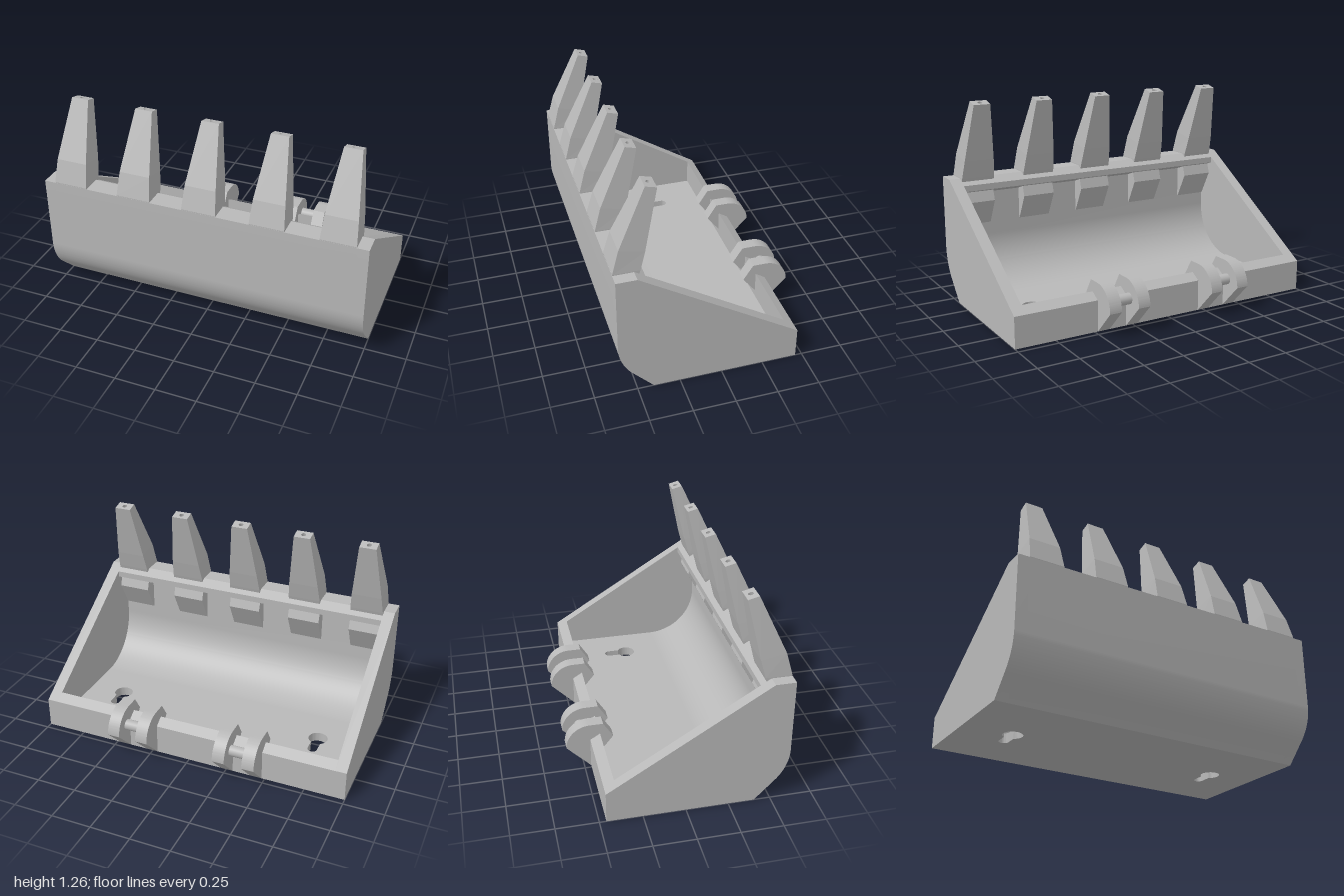
import * as THREE from 'three';
import { toCreasedNormals } from 'three/addons/utils/BufferGeometryUtils.js';

const steel = new THREE.MeshStandardMaterial({ color: 0xb8b8b8, side: THREE.DoubleSide });
steel.name = 'grey steel';

function part(name, geometry, parent) {
  const mesh = new THREE.Mesh(geometry, steel);
  mesh.name = name;
  parent.add(mesh);
  return mesh;
}

// Shape drawn in (z, y), extruded along x and centred on cx
function prism(shape, width, cx = 0) {
  const g = new THREE.ExtrudeGeometry(shape, { depth: width, bevelEnabled: false, curveSegments: 24 });
  g.rotateY(-Math.PI / 2).translate(cx + width / 2, 0, 0);
  return toCreasedNormals(g, 0.5);
}

// Outer curve of the bucket, from the top of the lip down to the floor
function outerFront(s) {
  s.lineTo(0.605, 0.775);
  s.lineTo(0.605, 0.325);
  s.absarc(0.315, 0.325, 0.29, 0, -Math.PI / 4, true);
  s.lineTo(0.405, 0);
}

function sidePlate() {
  const s = new THREE.Shape().moveTo(0.485, 0.775);
  outerFront(s);
  s.lineTo(-0.46, 0);
  s.lineTo(-0.46, 0.19);
  return s;
}

// Curved front wall with an overhanging lip
function frontWall() {
  const s = new THREE.Shape().moveTo(0.485, 0.775);
  outerFront(s);
  s.lineTo(0.1, 0);
  s.lineTo(0.1, 0.06);
  s.lineTo(0.22, 0.06);
  s.absarc(0.22, 0.38, 0.32, -Math.PI / 2, 0, false);
  s.lineTo(0.54, 0.66);
  s.lineTo(0.425, 0.7);
  s.lineTo(0.425, 0.738);
  return s;
}

// Floor plate with two keyhole slots
function floorPlate() {
  const s = new THREE.Shape().moveTo(-0.93, -0.46);
  s.lineTo(0.93, -0.46);
  s.lineTo(0.93, 0.1);
  s.lineTo(-0.93, 0.1);
  for (const x of [-0.693, 0.693]) {
    const hole = new THREE.Path();
    hole.absarc(x, -0.132, 0.03, Math.PI, 2 * Math.PI, false);
    hole.absarc(x, -0.012, 0.06, -Math.PI / 3, Math.PI * 4 / 3, false);
    hole.closePath();
    s.holes.push(hole);
  }
  const g = new THREE.ExtrudeGeometry(s, { depth: 0.06, bevelEnabled: false, curveSegments: 20 });
  g.rotateX(Math.PI / 2).translate(0, 0.06, 0);
  return toCreasedNormals(g, 0.5);
}

// Tooth lofted through rows of [front z, front y, back z, back y, half width]
function toothBody() {
  const rows = [
    [0.56, 0.46, 0.535, 0.46, 0.105],
    [0.59, 0.62, 0.45, 0.62, 0.105],
    [0.6, 0.7, 0.475, 0.7, 0.105],
    [0.604, 0.78, 0.45, 0.78, 0.105],
    [0.565, 0.92, 0.42, 0.89, 0.095],
    [0.405, 1.262, 0.34, 1.245, 0.053],
  ];
  const pos = [], index = [];
  for (const [zf, yf, zb, yb, h] of rows) pos.push(-h, yf, zf, h, yf, zf, h, yb, zb, -h, yb, zb);
  for (let r = 0; r < rows.length - 1; r++) {
    for (let i = 0; i < 4; i++) {
      const a = r * 4 + i, b = r * 4 + (i + 1) % 4;
      index.push(a, b, b + 4, a, b + 4, a + 4);
    }
  }
  index.push(0, 2, 1, 0, 3, 2);
  const g = new THREE.BufferGeometry();
  g.setAttribute('position', new THREE.Float32BufferAttribute(pos, 3));
  g.setIndex(index);
  const flat = g.toNonIndexed();
  flat.computeVertexNormals();
  return flat;
}

// Slanted tip face with a small drilled hole
function toothTip() {
  const s = new THREE.Shape().moveTo(-0.053, -0.0336);
  s.lineTo(0.053, -0.0336);
  s.lineTo(0.053, 0.0336);
  s.lineTo(-0.053, 0.0336);
  s.holes.push(new THREE.Path().absarc(0, 0, 0.015, 0, Math.PI * 2, true));
  return new THREE.ShapeGeometry(s, 16).rotateX(-Math.PI / 2 - 0.256).translate(0, 1.2535, 0.3725);
}

function hingeEar() {
  const s = new THREE.Shape().moveTo(-0.46, 0);
  s.lineTo(-0.605, 0.15);
  s.absarc(-0.46, 0.15, 0.145, Math.PI, Math.PI / 2, true);
  s.lineTo(-0.38, 0.295);
  s.lineTo(-0.32, 0.2);
  s.lineTo(-0.4, 0.1);
  s.lineTo(-0.42, 0.001);
  return s;
}

export function createModel() {
  const model = new THREE.Group();
  model.name = 'excavatorBucket';

  // Bucket shell
  const shell = new THREE.Group();
  shell.name = 'shell';
  model.add(shell);
  part('frontWall', prism(frontWall(), 1.86), shell);
  part('floor', floorPlate(), shell);
  part('leftSide', prism(sidePlate(), 0.07, 0.965), shell);
  part('rightSide', prism(sidePlate(), 0.07, -0.965), shell);
  const back = new THREE.Shape().moveTo(-0.46, 0.06);
  back.lineTo(-0.4, 0.06);
  back.lineTo(-0.4, 0.227);
  back.lineTo(-0.46, 0.19);
  part('backWall', prism(back, 1.86), shell);

  // Row of five teeth
  const body = toothBody(), tip = toothTip();
  const bore = new THREE.CylinderGeometry(0.015, 0.015, 0.06, 16, 1, true)
    .translate(0, -0.03, 0).rotateX(-0.256).translate(0, 1.2535, 0.3725);
  for (let i = -2; i <= 2; i++) {
    const tooth = new THREE.Group();
    tooth.name = 'tooth';
    tooth.position.x = i * 0.4125;
    part('toothBody', body, tooth);
    part('toothTip', tip, tooth);
    part('toothBore', bore, tooth);
    model.add(tooth);
  }

  // Two hinges, each a pair of ears joined by a pin
  for (const x of [-0.349, 0.349]) {
    const hinge = new THREE.Group();
    hinge.name = 'hinge';
    hinge.position.x = x;
    for (const side of [-1, 1]) part('hingeEar', prism(hingeEar(), 0.077, side * 0.094), hinge);
    const pin = new THREE.CylinderGeometry(0.034, 0.034, 0.13, 24).rotateZ(Math.PI / 2);
    part('hingePin', pin, hinge).position.set(0, 0.18, -0.497);
    model.add(hinge);
  }
  return model;
}
